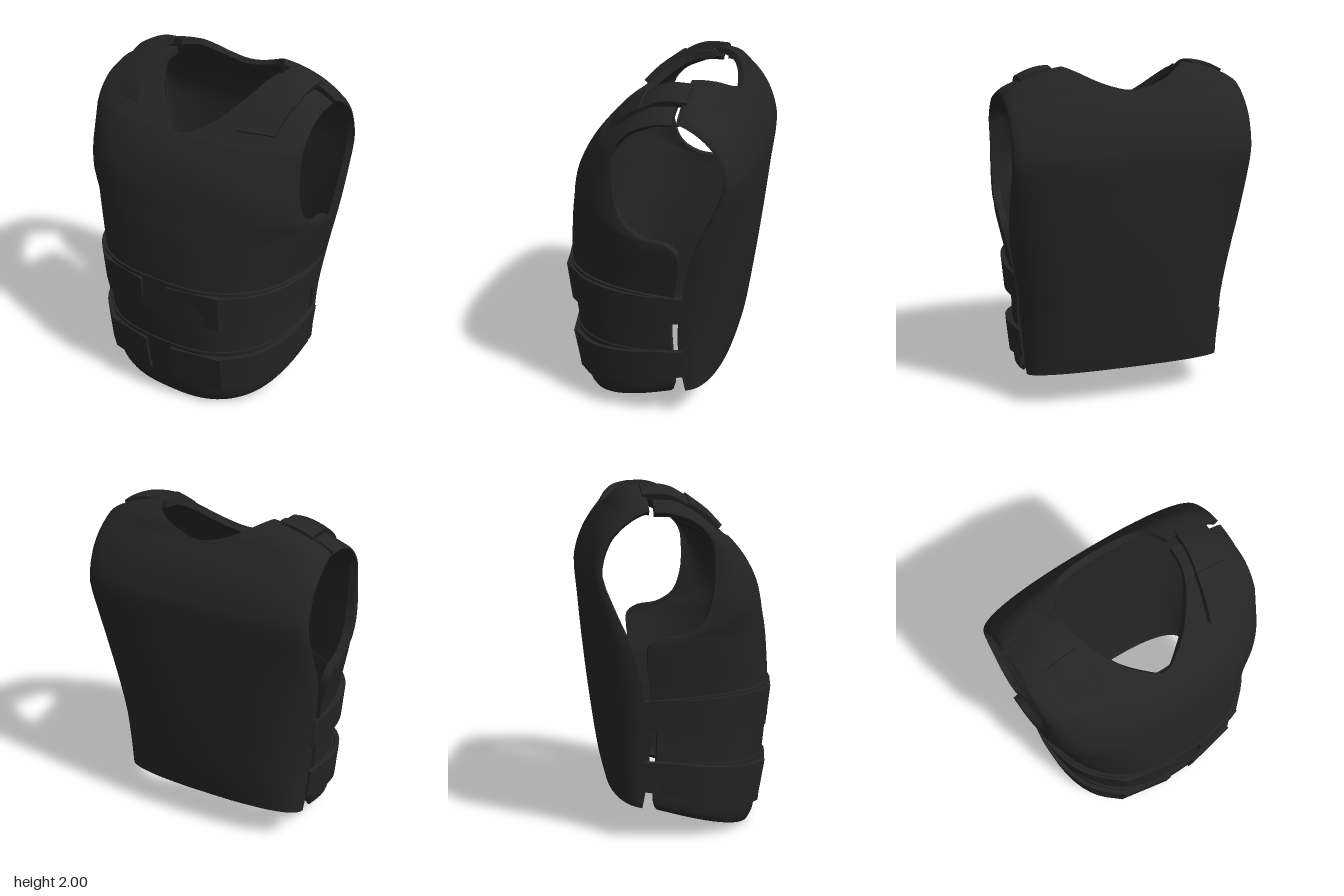
import * as THREE from 'three';
import { toCreasedNormals } from 'three/addons/utils/BufferGeometryUtils.js';

const V = (x, y, z) => new THREE.Vector3(x, y, z);
const lerp = THREE.MathUtils.lerp;

// Thick sheet over fn(u, v); sides lists 1 and/or -1 for the mirrored copy
function sheet(fn, nu, nv, thick, sides) {
  const A = [], B = [];
  for (let j = 0; j <= nv; j++) {
    A.push([]);
    for (let i = 0; i <= nu; i++) A[j].push(fn(i / nu, j / nv));
  }
  // Inner face: offset along normals averaged over the neighbouring cells by area
  const cell = (i, j) => A[j + 1][i + 1].clone().sub(A[j][i]).cross(A[j + 1][i].clone().sub(A[j][i + 1]));
  for (let j = 0; j <= nv; j++) {
    B.push([]);
    for (let i = 0; i <= nu; i++) {
      const n = V(0, 0, 0);
      for (let b = Math.max(j - 2, 0); b < Math.min(j + 2, nv); b++) {
        for (let a = Math.max(i - 2, 0); a < Math.min(i + 2, nu); a++) n.add(cell(a, b));
      }
      if (Math.abs(A[j][i].x) < 1e-5) n.x = 0;
      B[j].push(A[j][i].clone().addScaledVector(n.normalize(), -thick));
    }
  }
  const pos = [];
  const tri = (a, b, c) => {
    for (const s of sides) {
      for (const p of s > 0 ? [a, b, c] : [a, c, b]) pos.push(p.x * s, p.y, p.z);
    }
  };
  const quad = (a, b, c, d) => {
    if ([a, b, c, d].every((p) => Math.abs(p.x) < 1e-5)) return; // open at the centre line
    tri(a, b, c);
    tri(a, c, d);
  };
  for (let j = 0; j < nv; j++) {
    for (let i = 0; i < nu; i++) {
      quad(A[j][i], A[j][i + 1], A[j + 1][i + 1], A[j + 1][i]);
      quad(B[j][i], B[j + 1][i], B[j + 1][i + 1], B[j][i + 1]);
    }
    quad(A[j][0], A[j + 1][0], B[j + 1][0], B[j][0]);
    quad(A[j][nu], B[j][nu], B[j + 1][nu], A[j + 1][nu]);
  }
  for (let i = 0; i < nu; i++) {
    quad(A[0][i], B[0][i], B[0][i + 1], A[0][i + 1]);
    quad(A[nv][i], A[nv][i + 1], B[nv][i + 1], B[nv][i]);
  }
  const g = new THREE.BufferGeometry();
  g.setAttribute('position', new THREE.Float32BufferAttribute(pos, 3));
  return toCreasedNormals(g, 1);
}

// Half shell: each row runs in a rounded arc from its inner point to its outer point,
// boxier at the bottom (n0) and flatter towards the shoulder (n1)
function shell(rows, n0, n1, reverse = false) {
  const inner = new THREE.CatmullRomCurve3(rows.map((r) => V(r[0], r[1], r[2])));
  const outer = new THREE.CatmullRomCurve3(rows.map((r) => V(r[3], r[4], r[5])));
  return (u, v) => {
    const a = inner.getPoint(v), b = outer.getPoint(v);
    const t = (reverse ? 1 - u : u) * Math.PI / 2, e = 2 / lerp(n0, n1, v * v * v);
    const s = Math.pow(Math.sin(t), e), c = Math.pow(Math.max(Math.cos(t), 0), e);
    return V(lerp(a.x, b.x, s), lerp(b.y, a.y, c), lerp(b.z, a.z, c));
  };
}

// Strap along stations [x, z, yBottom, yTop], flared outward towards its top edge
function wrap(stations, flare) {
  const path = new THREE.CatmullRomCurve3(stations.map((s) => V(s[0], 0, s[1])));
  const span = new THREE.CatmullRomCurve3(stations.map((s) => V(s[2], s[3], s[0])));
  return (u, v) => {
    const p = path.getPoint(u), y = span.getPoint(u), k = 1 + flare * (v - 0.5);
    return V(p.x * (1 + (k - 1) * Math.min(1, p.x)), lerp(y.x, y.y, v), p.z > 0 ? p.z * k : p.z);
  };
}

// Shoulder strap over stations [xInner, xOuter, y, z]
function over(stations, skew) {
  const a = new THREE.CatmullRomCurve3(stations.map((s) => V(s[0], s[2], s[3])));
  const b = new THREE.CatmullRomCurve3(stations.map((s) => V(s[1], s[2], s[3])));
  return (u, v) => {
    const p = a.getPoint(v).lerp(b.getPoint(v), u), k = lerp(skew[0], skew[1], v);
    p.y -= 0.05 * u * u * k;
    p.z -= 0.05 * u * (1 - k);
    return p;
  };
}

export function createModel() {
  const group = new THREE.Group();
  const material = new THREE.MeshStandardMaterial({ color: 0x242424, side: THREE.DoubleSide });
  const add = (name, geometry) => {
    const m = new THREE.Mesh(geometry, material);
    m.name = name;
    group.add(m);
  };

  // Rows of the panels: centre or neckline point, then side or armhole point
  const front = [
    [0, 0.005, 0.45, 0.59, 0.19, -0.16], [0, 0.06, 0.478, 0.615, 0.23, -0.18],
    [0, 0.3, 0.515, 0.618, 0.4, -0.17], [0, 0.6, 0.55, 0.622, 0.62, -0.16],
    [0, 0.85, 0.56, 0.65, 0.85, -0.19], [0, 1.02, 0.55, 0.69, 1.03, -0.215],
    [0, 1.13, 0.54, 0.712, 1.13, -0.21], [0, 1.2, 0.53, 0.712, 1.18, -0.14],
    [0, 1.27, 0.515, 0.705, 1.2, -0.02], [0, 1.35, 0.5, 0.695, 1.27, 0.09],
    [0, 1.46, 0.47, 0.69, 1.4, 0.14], [0, 1.59, 0.4, 0.69, 1.53, 0.15],
    [0, 1.69, 0.315, 0.695, 1.64, 0.147], [0.035, 1.694, 0.305, 0.695, 1.67, 0.143],
    [0.1, 1.718, 0.265, 0.695, 1.73, 0.115], [0.2, 1.785, 0.185, 0.695, 1.8, 0.045],
    [0.3, 1.895, 0.05, 0.69, 1.835, -0.04], [0.34, 1.95, -0.05, 0.69, 1.85, -0.1],
    [0.35, 1.965, -0.17, 0.69, 1.855, -0.18],
  ];
  const back = [
    [0, 0.24, -0.41, 0.59, 0.2, -0.24], [0, 0.38, -0.445, 0.605, 0.38, -0.21],
    [0, 0.6, -0.48, 0.62, 0.6, -0.2], [0, 0.87, -0.515, 0.65, 0.85, -0.235],
    [0, 1.15, -0.545, 0.685, 1.12, -0.3], [0, 1.33, -0.56, 0.69, 1.3, -0.38],
    [0, 1.54, -0.575, 0.69, 1.51, -0.462], [0, 1.64, -0.555, 0.69, 1.59, -0.458],
    [0, 1.74, -0.515, 0.69, 1.66, -0.437], [0, 1.82, -0.467, 0.69, 1.715, -0.41],
    [0, 1.885, -0.42, 0.69, 1.76, -0.37], [0.04, 1.89, -0.416, 0.69, 1.778, -0.352],
    [0.12, 1.91, -0.402, 0.69, 1.803, -0.32], [0.2, 1.94, -0.38, 0.69, 1.825, -0.287],
    [0.28, 1.978, -0.33, 0.69, 1.845, -0.25], [0.33, 1.997, -0.255, 0.69, 1.857, -0.22],
    [0.35, 2.0, -0.21, 0.69, 1.86, -0.205],
  ];
  add('frontPanel', sheet(shell(front, 2.65, 1.4), 20, 54, 0.042, [1, -1]));
  add('backPanel', sheet(shell(back, 2.5, 1.3, true), 20, 48, 0.037, [1, -1]));

  // Bands around the front panel, showing on its outside and inside
  const upperBand = [[0, 0.64, 0.562, 0.633, 0.66, -0.15], [0, 0.865, 0.57, 0.662, 0.83, -0.17]];
  const lowerBand = [[0, 0.21, 0.514, 0.626, 0.3, -0.16], [0, 0.425, 0.54, 0.63, 0.465, -0.16]];
  add('upperBand', sheet(shell(upperBand, 2.65, 2.65), 20, 2, 0.06, [1, -1]));
  add('lowerBand', sheet(shell(lowerBand, 2.65, 2.65), 20, 2, 0.06, [1, -1]));

  // Waist straps with front pads, stations [x, z, yBottom, yTop]
  const upperPad = [[0.09, 0.57, 0.62, 0.84], [0.4, 0.51, 0.615, 0.845]];
  const upperStrap = [
    [0.4, 0.505, 0.615, 0.84], [0.54, 0.37, 0.62, 0.835], [0.62, 0.23, 0.63, 0.835],
    [0.655, 0.07, 0.64, 0.83], [0.66, -0.08, 0.655, 0.83], [0.64, -0.24, 0.66, 0.825],
  ];
  const lowerPad = [[0.09, 0.535, 0.16, 0.4], [0.4, 0.475, 0.16, 0.4]];
  const lowerStrap = [
    [0.4, 0.47, 0.16, 0.4], [0.53, 0.35, 0.17, 0.41], [0.605, 0.21, 0.2, 0.43],
    [0.638, 0.05, 0.24, 0.45], [0.64, -0.08, 0.275, 0.47], [0.62, -0.23, 0.3, 0.475],
  ];
  // Shoulder straps, stations [xInner, xOuter, y, z]
  const shoulderPad = [[0.335, 0.55, 1.765, 0.245], [0.36, 0.56, 1.86, 0.15], [0.385, 0.575, 1.95, 0.025]];
  const shoulderStrap = [
    [0.385, 0.575, 1.93, 0.035], [0.4, 0.585, 1.98, -0.05],
    [0.41, 0.59, 2.0, -0.13], [0.41, 0.59, 1.998, -0.235],
  ];
  for (const [side, s] of [['left', 1], ['right', -1]]) {
    add(side + 'UpperPad', sheet(wrap(upperPad, 0.05), 4, 2, 0.035, [s]));
    add(side + 'UpperStrap', sheet(wrap(upperStrap, 0.04), 15, 3, 0.025, [s]));
    add(side + 'LowerPad', sheet(wrap(lowerPad, 0.08), 4, 2, 0.035, [s]));
    add(side + 'LowerStrap', sheet(wrap(lowerStrap, 0.05), 15, 3, 0.025, [s]));
    add(side + 'ShoulderPad', sheet(over(shoulderPad, [0, 1]), 4, 6, 0.045, [s]));
    add(side + 'ShoulderStrap', sheet(over(shoulderStrap, [1, 1]), 4, 9, 0.035, [s]));
  }
  return group;
}
